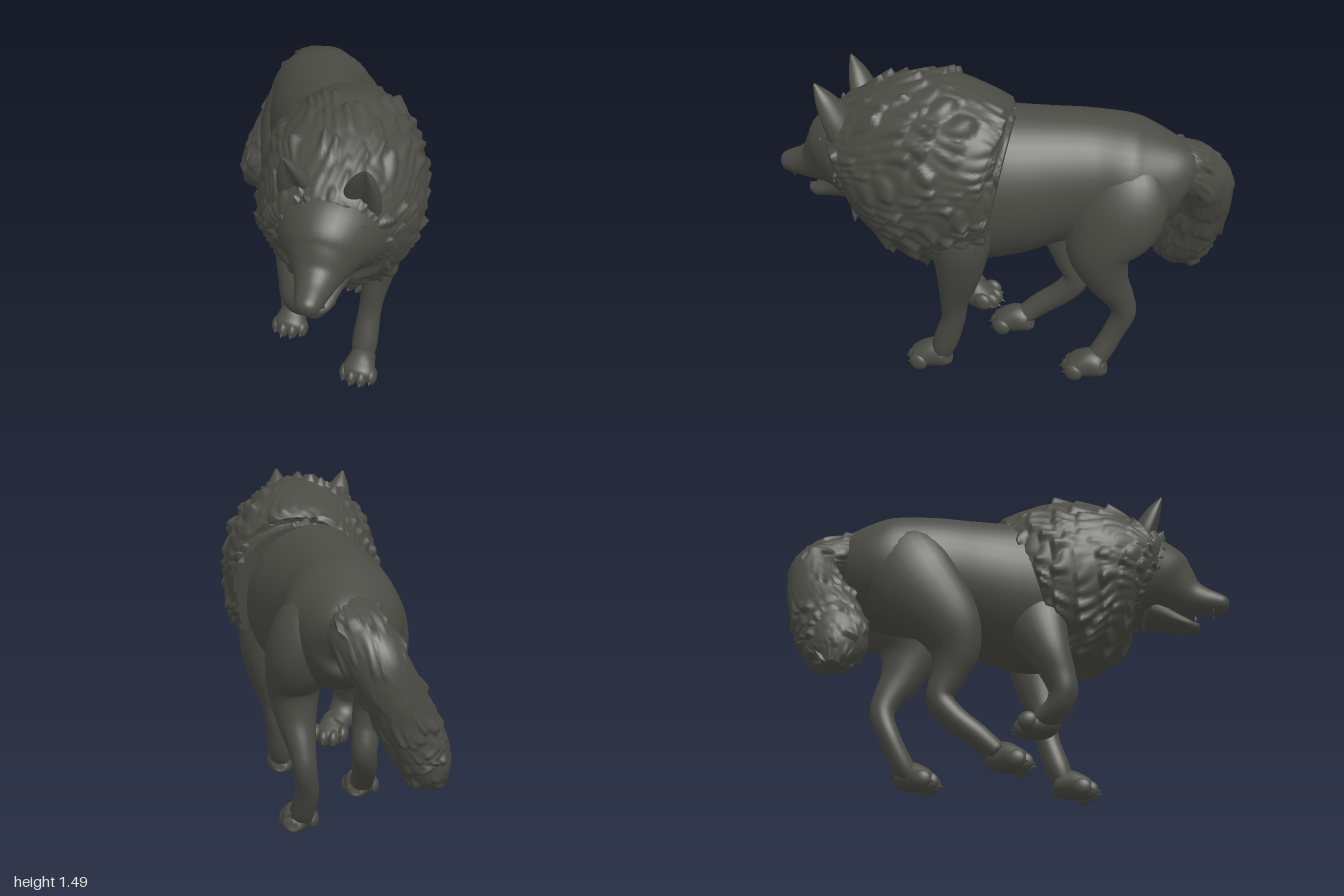
import * as THREE from 'three';

const fur = new THREE.MeshStandardMaterial({ color: 0x4a4b44 });
fur.name = 'charcoal fur';

const hash = (a, b) => {
  const s = Math.sin(a * 127.1 + b * 311.7) * 43758.5453;
  return s - Math.floor(s);
};

function add(parent, geometry, name) {
  const mesh = new THREE.Mesh(geometry, fur);
  mesh.name = name;
  parent.add(mesh);
  return mesh;
}

// Smooth skin through oval sections [x, y, z, halfWidth, halfDepth]; shape() may adjust each rim point
function loft(sections, along = 40, around = 28, shape = null) {
  const path = new THREE.CatmullRomCurve3(sections.map(s => new THREE.Vector3(s[0], s[1], s[2])), false, 'catmullrom', 0.5);
  const size = new THREE.CatmullRomCurve3(sections.map(s => new THREE.Vector3(s[3], s[4], 0)), false, 'catmullrom', 0.5);
  const pos = [], idx = [];
  for (let i = 0; i <= along; i++) {
    const t = i / along;
    const c = path.getPoint(t), r = size.getPoint(t), T = path.getTangent(t);
    const S = new THREE.Vector3(1, 0, 0).addScaledVector(T, -T.x).normalize();
    const U = new THREE.Vector3().crossVectors(T, S);
    for (let j = 0; j < around; j++) {
      const q = (j / around) * Math.PI * 2;
      let x = Math.cos(q) * r.x, y = Math.sin(q) * r.y;
      if (shape) [x, y] = shape(x, y, t, j / around);
      const p = c.clone().addScaledVector(S, x).addScaledVector(U, y);
      pos.push(p.x, p.y, p.z);
    }
  }
  for (let i = 0; i < along; i++) {
    for (let j = 0; j < around; j++) {
      const a = i * around + j, b = i * around + (j + 1) % around;
      idx.push(a, b, a + around, b, b + around, a + around);
    }
  }
  // close both ends
  const first = path.getPoint(0), last = path.getPoint(1), n = pos.length / 3, e = along * around;
  pos.push(first.x, first.y, first.z, last.x, last.y, last.z);
  for (let j = 0; j < around; j++) {
    const k = (j + 1) % around;
    idx.push(n, k, j, n + 1, e + j, e + k);
  }
  const g = new THREE.BufferGeometry();
  g.setAttribute('position', new THREE.Float32BufferAttribute(pos, 3));
  g.setIndex(idx);
  g.computeVertexNormals();
  return g;
}

// Overlapping, wavy locks of fur that lift towards their tips; sparse locks keep it ragged
const tufts = (cols, rows, lift, forward) => (x, y, t, v) => {
  const u = v * cols + cols + 0.6 * Math.sin(t * 17 + 3 * Math.sin(v * 6 * Math.PI));
  const col = Math.floor(u) % cols;
  const ph = t * rows + hash(col, 3) * 2;
  const row = Math.floor(ph), f = ph - row;
  const rise = forward ? f : 1 - f;
  const h = lift * rise * Math.sin(Math.PI * (u - Math.floor(u))) * (0.1 + 1.2 * hash(col, row + 9) ** 2);
  const k = 1 + h / Math.max(0.05, Math.hypot(x, y));
  return [x * k, y * k];
};

function ball(parent, name, x, y, z, sx, sy, sz) {
  const m = add(parent, new THREE.SphereGeometry(1, 18, 12), name);
  m.position.set(x, y, z);
  m.scale.set(sx, sy, sz);
  return m;
}

// Paw facing local +z with its sole on y = 0
function paw(parent, name, x, y, z) {
  const g = new THREE.Group();
  g.name = name;
  g.position.set(x, y, z);
  add(g, loft([[0, 0.07, -0.1, 0.02, 0.02], [0, 0.068, -0.085, 0.05, 0.048], [0, 0.076, -0.03, 0.064, 0.07],
    [0, 0.062, 0.03, 0.078, 0.056], [0, 0.05, 0.065, 0.066, 0.042], [0, 0.045, 0.085, 0.03, 0.02]], 24, 24), 'foot');
  [-0.064, -0.023, 0.023, 0.064].forEach((tx, i) => {
    const tz = i === 1 || i === 2 ? 0.063 : 0.035;
    ball(g, 'toe', tx, 0.045, tz, 0.026, 0.042, 0.045);
    const claw = add(g, new THREE.ConeGeometry(0.009, 0.03, 8), 'claw');
    claw.position.set(tx, 0.035, tz + 0.046);
    claw.rotation.x = 1.9;
  });
  parent.add(g);
  return g;
}

export function createModel() {
  const wolf = new THREE.Group();
  wolf.name = 'wolf';

  // Trunk, mane and tail
  add(wolf, loft([[-0.17, 0.99, -0.81, 0.05, 0.08], [-0.15, 1.0, -0.76, 0.16, 0.175], [-0.12, 0.985, -0.6, 0.25, 0.265],
    [-0.065, 0.985, -0.4, 0.255, 0.295], [0.025, 0.98, -0.22, 0.265, 0.32], [0.11, 0.965, -0.05, 0.285, 0.355],
    [0.18, 0.96, 0.12, 0.28, 0.36], [0.22, 1, 0.32, 0.2, 0.3]], 50, 40), 'trunk');
  add(wolf, loft([[0.17, 0.97, -0.05, 0.275, 0.335], [0.182, 0.98, 0, 0.308, 0.368], [0.2, 1.01, 0.1, 0.343, 0.416],
    [0.22, 1.03, 0.25, 0.355, 0.437], [0.238, 1.05, 0.42, 0.338, 0.388], [0.25, 1.05, 0.56, 0.285, 0.3],
    [0.256, 1.03, 0.635, 0.22, 0.215], [0.26, 1.01, 0.67, 0.13, 0.14]], 90, 200, tufts(44, 10, 0.034, false)), 'mane');
  add(wolf, loft([[-0.12, 1.05, -0.62, 0.09, 0.13], [-0.19, 1.03, -0.76, 0.125, 0.12], [-0.285, 0.935, -0.86, 0.125, 0.11],
    [-0.36, 0.78, -0.83, 0.118, 0.132], [-0.415, 0.63, -0.76, 0.12, 0.152], [-0.46, 0.51, -0.715, 0.12, 0.15],
    [-0.505, 0.42, -0.705, 0.09, 0.115], [-0.545, 0.355, -0.7, 0.025, 0.035]], 70, 100, tufts(20, 9, 0.024, true)), 'tail');

  // Head
  const head = new THREE.Group();
  head.name = 'head';
  wolf.add(head);
  add(head, loft([[0.26, 1.07, 0.48, 0.25, 0.22], [0.26, 1.06, 0.6, 0.24, 0.228], [0.262, 1.035, 0.69, 0.195, 0.2],
    [0.265, 1.0, 0.755, 0.142, 0.152], [0.267, 0.965, 0.82, 0.098, 0.098], [0.268, 0.945, 0.88, 0.076, 0.074],
    [0.27, 0.933, 0.94, 0.06, 0.056], [0.27, 0.925, 0.98, 0.045, 0.042], [0.27, 0.92, 0.998, 0.02, 0.02]], 44, 36), 'skull and muzzle');
  add(head, loft([[0.265, 0.9, 0.62, 0.12, 0.08], [0.267, 0.85, 0.73, 0.08, 0.045],
    [0.268, 0.818, 0.81, 0.058, 0.03], [0.268, 0.815, 0.855, 0.025, 0.018]], 20, 20), 'lower jaw');
  ball(head, 'nose', 0.27, 0.942, 0.972, 0.034, 0.026, 0.026);
  for (const s of [-1, 1]) {
    const ear = [[0.13, 1.2, 0.61, 0.085, 0.08], [0.14, 1.28, 0.645, 0.076, 0.068],
      [0.156, 1.36, 0.68, 0.048, 0.045], [0.168, 1.43, 0.71, 0.006, 0.006]];
    // flattened towards the front, with a shallow hollow inside the rim
    add(head, loft(ear.map(e => [0.262 + s * e[0], ...e.slice(1)]), 24, 28,
      (x, y, t, v) => [x, y < 0 ? y * (0.15 + 0.6 * Math.abs(Math.cos(v * 2 * Math.PI))) : y]), 'ear');
    ball(head, 'brow', 0.264 + s * 0.08, 1.1, 0.77, 0.045, 0.026, 0.03).rotation.z = s * 0.5;
    ball(head, 'eye', 0.265 + s * 0.082, 1.065, 0.79, 0.02, 0.013, 0.014);
    for (const [y, z, flip] of [[0.88, 0.925, Math.PI], [0.85, 0.84, 0]]) {
      const tooth = add(head, new THREE.ConeGeometry(0.008, 0.03, 8), 'canine tooth');
      tooth.position.set(0.268 + s * 0.034, y, z);
      tooth.rotation.x = flip;
    }
  }

  // Forelegs: left planted, right folded under the chest
  add(wolf, loft([[0.34, 0.95, 0.05, 0.1, 0.16], [0.375, 0.76, 0.06, 0.1, 0.14], [0.362, 0.6, 0.075, 0.086, 0.108],
    [0.335, 0.42, 0.11, 0.06, 0.068], [0.32, 0.3, 0.125, 0.053, 0.056], [0.312, 0.16, 0.17, 0.06, 0.058],
    [0.312, 0.08, 0.2, 0.05, 0.045]]), 'left foreleg');
  paw(wolf, 'left front paw', 0.312, 0, 0.25);
  add(wolf, loft([[0.05, 0.95, 0.1, 0.1, 0.16], [-0.01, 0.75, 0.12, 0.1, 0.14], [-0.035, 0.6, 0.17, 0.082, 0.1],
    [-0.022, 0.48, 0.215, 0.07, 0.076], [-0.008, 0.4, 0.23, 0.072, 0.066], [0.012, 0.33, 0.195, 0.07, 0.06],
    [0.035, 0.29, 0.12, 0.055, 0.054]]), 'right foreleg');
  const folded = paw(wolf, 'right front paw', 0.052, 0.335, 0.075);
  folded.rotation.x = 2.6;

  // Hind legs: left pushing off, right swinging forward
  add(wolf, loft([[-0.03, 1.16, -0.56, 0.03, 0.04], [0.005, 1.05, -0.57, 0.12, 0.18], [0.065, 0.89, -0.555, 0.145, 0.22],
    [0.11, 0.71, -0.5, 0.118, 0.16], [0.095, 0.56, -0.53, 0.088, 0.105], [0.06, 0.44, -0.585, 0.06, 0.07],
    [0.042, 0.35, -0.605, 0.05, 0.056], [0.045, 0.23, -0.56, 0.052, 0.05], [0.075, 0.12, -0.51, 0.055, 0.052],
    [0.1, 0.07, -0.48, 0.05, 0.045]]), 'left hind leg');
  paw(wolf, 'left hind paw', 0.11, 0, -0.45);
  add(wolf, loft([[-0.18, 1.18, -0.56, 0.03, 0.04], [-0.205, 1.06, -0.52, 0.125, 0.19], [-0.237, 0.88, -0.425, 0.135, 0.215],
    [-0.222, 0.7, -0.28, 0.102, 0.16], [-0.19, 0.57, -0.235, 0.083, 0.12], [-0.172, 0.45, -0.26, 0.067, 0.082],
    [-0.167, 0.34, -0.3, 0.058, 0.062], [-0.16, 0.25, -0.24, 0.056, 0.058], [-0.14, 0.16, -0.13, 0.054, 0.054],
    [-0.115, 0.09, -0.05, 0.055, 0.048]]), 'right hind leg');
  paw(wolf, 'right hind paw', -0.1, 0, 0);

  return wolf;
}
